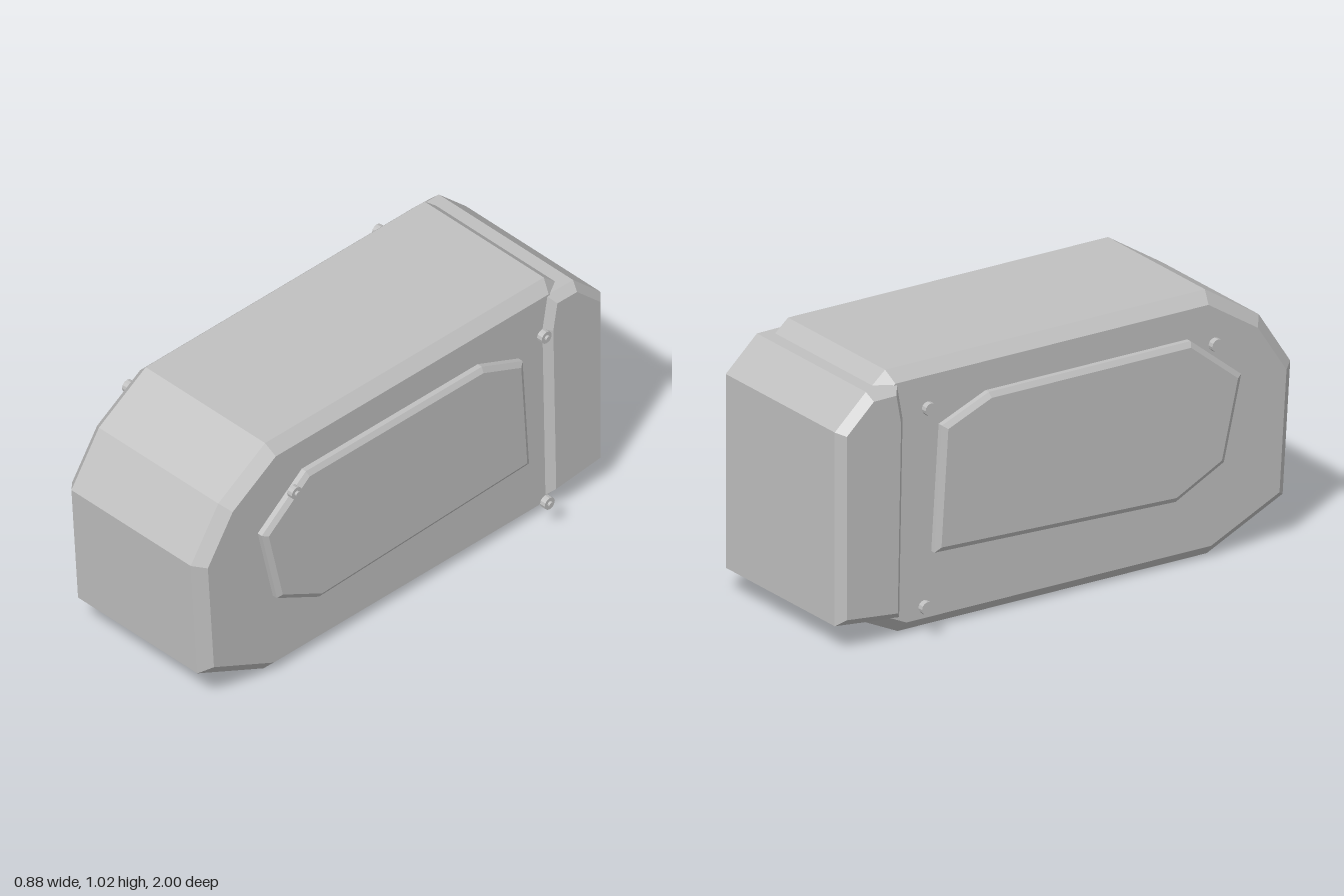
import * as THREE from 'three';

const grey = new THREE.MeshStandardMaterial({ color: 0xc0c0c0 });
grey.name = 'plainGrey';

// Moves every corner of a convex [z, y] outline inwards by d
function inset(points, d) {
  const n = points.length;
  const normal = (a, b) => {
    const dz = b[0] - a[0], dy = b[1] - a[1], l = Math.hypot(dz, dy);
    return [dy / l, -dz / l];
  };
  return points.map((p, i) => {
    const u = normal(points[(i + n - 1) % n], p);
    const v = normal(p, points[(i + 1) % n]);
    const k = d / (1 + u[0] * v[0] + u[1] * v[1]);
    return [p[0] + k * (u[0] + v[0]), p[1] + k * (u[1] + v[1])];
  });
}

// Slab across x with chamfered rims on both sides; outline is [z, y]
function chamferedSlab(name, outline, centre, half, depth, rim) {
  const cap = inset(outline, rim);
  const sections = [[-half, cap], [-half + depth, outline], [half - depth, outline], [half, cap]]
    .map(([x, pts]) => pts.map(([z, y]) => [x + centre, y, z]));
  const n = outline.length, pos = [];
  const tri = (a, b, c) => pos.push(...a, ...b, ...c);
  for (let k = 0; k < 3; k++) {
    for (let i = 0; i < n; i++) {
      const j = (i + 1) % n, lo = sections[k], hi = sections[k + 1];
      tri(lo[i], lo[j], hi[j]);
      tri(lo[i], hi[j], hi[i]);
    }
  }
  for (let i = 1; i < n - 1; i++) {
    tri(sections[3][0], sections[3][i], sections[3][i + 1]);
    tri(sections[0][0], sections[0][i + 1], sections[0][i]);
  }
  const geo = new THREE.BufferGeometry();
  geo.setAttribute('position', new THREE.Float32BufferAttribute(pos, 3));
  geo.computeVertexNormals();
  const mesh = new THREE.Mesh(geo, grey);
  mesh.name = name;
  return mesh;
}

// Short cylinder lying along x between x0 and x1
function disc(name, radius, x0, x1, y, z) {
  const geo = new THREE.CylinderGeometry(radius, radius, x1 - x0, 12).toNonIndexed();
  geo.computeVertexNormals();
  const mesh = new THREE.Mesh(geo, grey);
  mesh.name = name;
  mesh.rotation.z = Math.PI / 2;
  mesh.position.set((x0 + x1) / 2, y, z);
  return mesh;
}

export function createModel() {
  const model = new THREE.Group();
  model.name = 'armouredPod';
  const mid = -0.007;

  // Main body
  model.add(chamferedSlab('mainBody', [
    [0.63, 1.017], [0.863, 0.869], [1, 0.66], [0.967, 0.155], [0.638, 0],
    [-0.702, 0], [-0.863, 0.075], [-0.87, 0.5], [-0.83, 0.953], [-0.756, 1.017],
  ], mid, 0.349, 0.042, 0.044));

  // Wider block at the back
  model.add(chamferedSlab('rearBlock', [
    [-0.73, 0.97], [-0.705, 0.83], [-0.72, 0.068], [-1, 0.097], [-1, 0.842], [-0.865, 0.968],
  ], mid, 0.378, 0.033, 0.03));

  // Raised panel on each side
  const panel = [
    [0.51, 0.872], [0.729, 0.697], [0.654, 0.375], [0.445, 0.268],
    [-0.6, 0.306], [-0.568, 0.788], [-0.365, 0.872],
  ];
  for (const [side, s] of [['left', 1], ['right', -1]]) {
    model.add(chamferedSlab(side + 'Panel', panel, mid + s * 0.382, 0.0235, 0.013, 0.02));
  }

  // Bolts: three on each side, all pointing the same way
  for (const x of [-0.442, 0.408]) {
    for (const [z, y] of [[0.6, 0.847], [-0.643, 0.879], [-0.658, 0.118]]) {
      const bolt = new THREE.Group();
      bolt.name = 'bolt';
      bolt.add(disc('boltHead', 0.025, x, x + 0.024, y, z));
      bolt.add(disc('boltPin', 0.011, x + 0.024, x + 0.034, y, z));
      model.add(bolt);
    }
  }
  return model;
}
